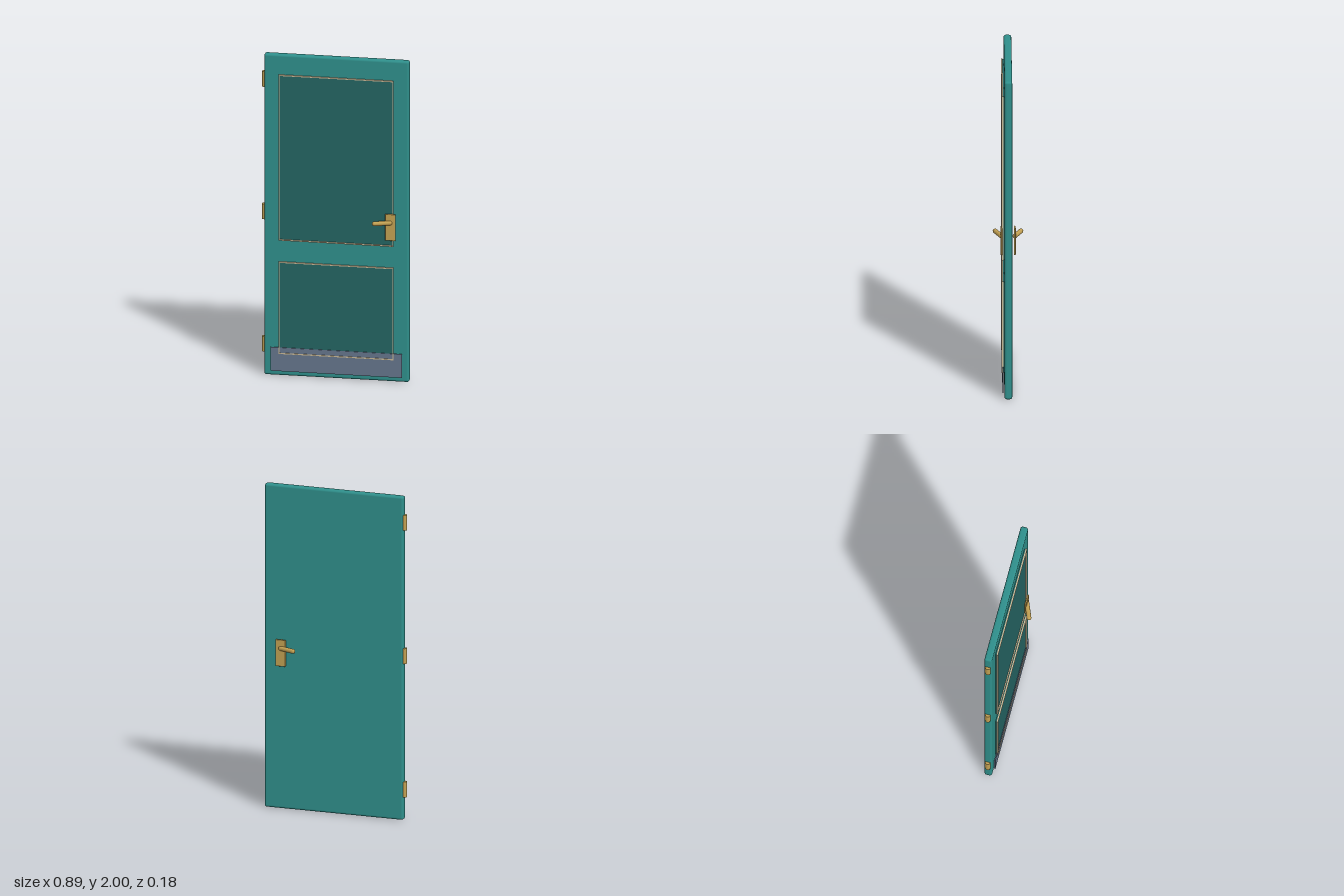
import * as THREE from 'three';
import { RoundedBoxGeometry } from 'three/addons/geometries/RoundedBoxGeometry.js';

const paint = (color) => new THREE.MeshStandardMaterial({ color });

export function createModel() {
  const door = new THREE.Group();
  door.name = 'door';
  const teal = paint(0x2f8f8b), darkTeal = paint(0x246462);
  const trim = paint(0xc8b896), brass = paint(0xc2a052), steel = paint(0x64748b);

  const add = (name, geometry, material, parent = door) => {
    const mesh = new THREE.Mesh(geometry, material);
    mesh.name = name;
    parent.add(mesh);
    return mesh;
  };
  // Box given by its extents, with optional rounded edges
  const box = (name, [x0, x1], [y0, y1], [z0, z1], material, radius = 0, parent = door) => {
    const size = [x1 - x0, y1 - y0, z1 - z0];
    const geometry = radius
      ? new RoundedBoxGeometry(...size, 3, radius)
      : new THREE.BoxGeometry(...size);
    add(name, geometry, material, parent)
      .position.set((x0 + x1) / 2, (y0 + y1) / 2, (z0 + z1) / 2);
  };

  // Door leaf
  box('leaf', [-0.432, 0.446], [0, 2], [-0.024, 0.022], teal, 0.014);

  // Two panels, each with a thin raised moulding around it
  const left = -0.342, right = 0.355, w = 0.007, depth = [0.029, 0.038];
  for (const [name, y0, y1] of [['upperPanel', 0.845, 1.878], ['lowerPanel', 0.138, 0.713]]) {
    const panel = new THREE.Group();
    panel.name = name;
    door.add(panel);
    box('panelSheet', [left + 0.003, right - 0.003], [y0 + 0.003, y1 - 0.003], [0.02, 0.03], darkTeal, 0, panel);
    for (const y of [y0, y1 - w])
      box('mouldingRail', [left + w, right - w], [y, y + w], depth, trim, 0, panel);
    for (const x of [left, right - w])
      box('mouldingStile', [x, x + w], [y0, y1], depth, trim, 0, panel);
  }

  // Kick plate across the bottom
  box('kickPlate', [-0.39, 0.405], [0.03, 0.177], [0.027, 0.034], steel);

  // Hinge barrels
  for (const y of [0.188, 1.013, 1.838])
    add('hinge', new THREE.CylinderGeometry(0.016, 0.016, 0.095, 20), brass)
      .position.set(-0.432, y, -0.001);

  // Lever handles on both faces
  for (const side of [1, -1]) {
    const handle = new THREE.Group();
    handle.name = side > 0 ? 'frontHandle' : 'backHandle';
    door.add(handle);
    const z = side * 0.04;
    box('handlePlate', [0.305, 0.369], [0.884, 1.049], [z - 0.0055, z + 0.0055], brass, 0.004, handle);
    const root = new THREE.Vector3(0.336, 0.995, side * 0.041);
    const tip = new THREE.Vector3(0.246, 0.995, side * 0.077);
    const along = tip.clone().sub(root);
    const lever = add('lever', new THREE.CapsuleGeometry(0.014, along.length(), 6, 16), brass, handle);
    lever.position.copy(root).add(tip).multiplyScalar(0.5);
    lever.quaternion.setFromUnitVectors(new THREE.Vector3(0, 1, 0), along.normalize());
  }

  return door;
}
